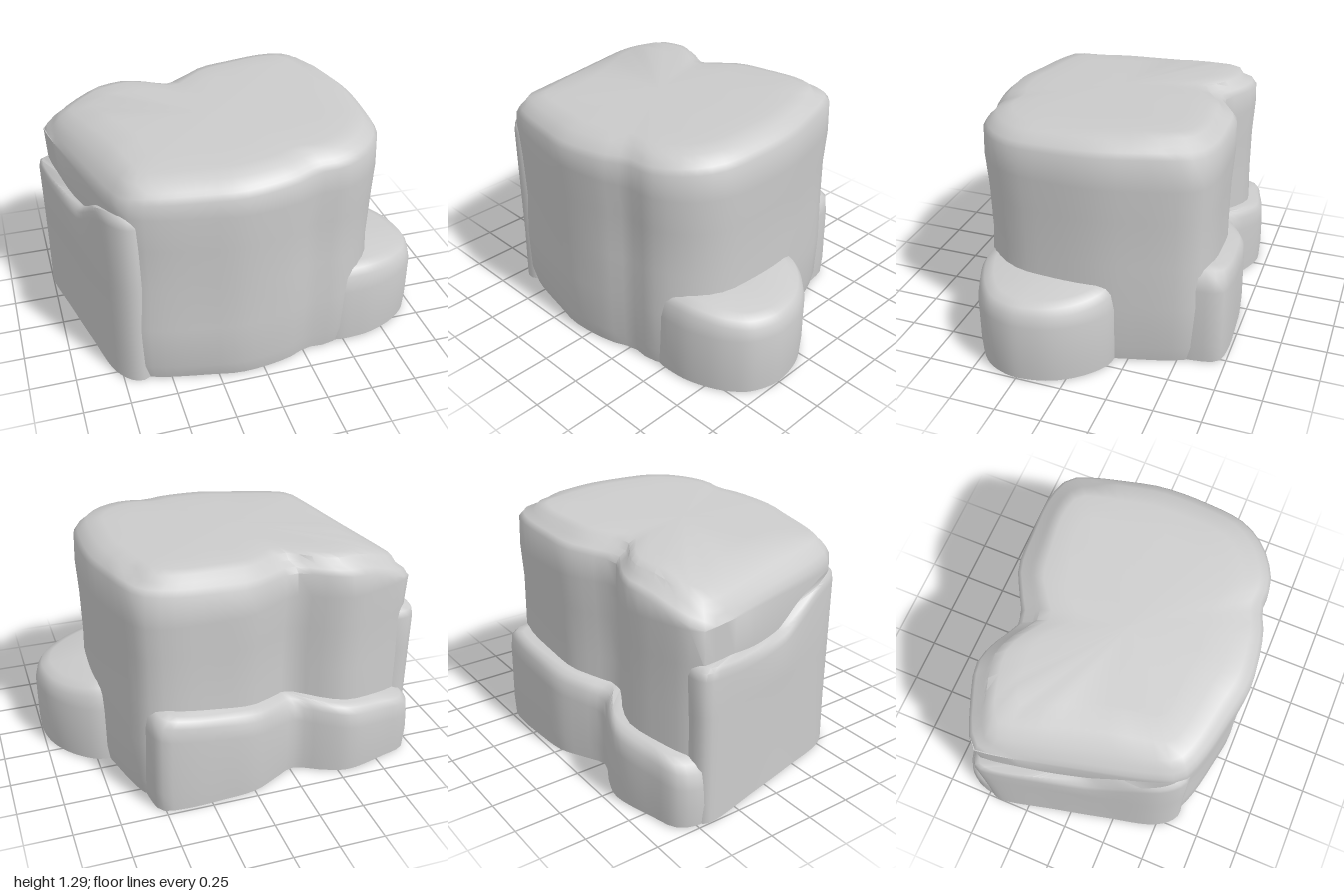
import * as THREE from 'three';
import { toCreasedNormals } from 'three/addons/utils/BufferGeometryUtils.js';

const material = new THREE.MeshStandardMaterial({ color: 0xcccccc, roughness: 0.9 });
const { clamp, lerp, smoothstep } = THREE.MathUtils;

// Smooth closed outline through [x, z] points, clockwise seen from above
function outline(points, count) {
  const curve = new THREE.CatmullRomCurve3(
    points.map(([x, z]) => new THREE.Vector3(x, 0, z)), true, 'centripetal');
  return curve.getSpacedPoints(count).slice(0, count);
}

// Stack of rings: each row gives [inset(x, z) towards the centre, height(x, z)]
function rock(name, points, [cx, cz], rows, topHeight, count = 72) {
  const ring = outline(points, count);
  const positions = [];
  const index = [];
  for (const [inset, height] of rows) {
    for (const p of ring) {
      const dx = p.x - cx, dz = p.z - cz;
      const k = 1 - inset(p.x, p.z) / Math.hypot(dx, dz);
      const x = cx + dx * k, z = cz + dz * k;
      positions.push(x, height(x, z), z);
    }
  }
  const bottom = rows.length * count, top = bottom + 1;
  positions.push(cx, 0.005, cz, cx, topHeight(cx, cz), cz);
  for (let i = 0; i < count; i++) {
    const j = (i + 1) % count;
    for (let r = 0; r < rows.length - 1; r++) {
      const a = r * count + i, b = r * count + j;
      index.push(a, a + count, b + count, a, b + count, b);
    }
    const last = (rows.length - 1) * count;
    index.push(last + i, top, last + j, i, j, bottom);
  }
  const geometry = new THREE.BufferGeometry();
  geometry.setAttribute('position', new THREE.Float32BufferAttribute(positions, 3));
  geometry.setIndex(index);
  const mesh = new THREE.Mesh(toCreasedNormals(geometry, 0.9), material);
  mesh.name = name;
  return mesh;
}

const flat = v => () => v;
const below = (f, d) => (x, z) => f(x, z) - d;

export function createModel() {
  const group = new THREE.Group();
  group.name = 'rock';

  // Main block: gently tilted top, worn rim, stepped along the back
  const top = (x, z) => 1.255 + 0.05 * x - 0.03 * z - 0.3 * Math.max(0, -x - 0.64);
  const rim = (side, back) => (x, z) => lerp(back, side, smoothstep(z, -0.5, -0.35));
  const worn = (amount, y) => (x, z) =>
    amount + 0.008 * Math.sin(5 * x + 4 * y) * Math.sin(4 * z - 5 * y);
  group.add(rock('mainBlock', [
    [-0.95, -0.45], [-0.9, -0.5], [-0.75, -0.56], [-0.55, -0.61], [-0.42, -0.57],
    [-0.27, -0.5], [-0.14, -0.56], [0, -0.63], [0.2, -0.645], [0.44, -0.64],
    [0.57, -0.59], [0.62, -0.5], [0.68, -0.3], [0.725, -0.1], [0.73, 0.15],
    [0.7, 0.38], [0.6, 0.53], [0.43, 0.63], [0.29, 0.635], [0.15, 0.69],
    [-0.12, 0.725], [-0.3, 0.695], [-0.6, 0.625], [-0.7, 0.57], [-0.75, 0.45],
    [-0.86, 0], [-0.94, -0.37],
  ], [-0.1, 0.05], [
    [flat(0.03), flat(0.01)],
    [worn(0.01, 0.1), flat(0.1)],
    [worn(0.008, 0.35), flat(0.35)],
    [worn(0.015, 0.6), flat(0.6)],
    [worn(0.012, 0.85), flat(0.85)],
    [flat(0), flat(1.04)],
    [flat(0.005), below(top, 0.09)],
    [rim(0.025, 0.03), below(top, 0.06)],
    [rim(0.045, 0.085), below(top, 0.045)],
    [rim(0.08, 0.11), below(top, 0.012)],
    [flat(0.17), top],
    [flat(0.3), below(top, -0.006)],
  ], below(top, -0.008)));

  // Low ledge along the back, following the notch of the block above
  const ledgeTop = x => 0.49 + 0.15 * x;
  group.add(rock('backLedge', [
    [-0.99, -0.45], [-0.95, -0.59], [-0.8, -0.645], [-0.55, -0.7], [-0.42, -0.66],
    [-0.27, -0.595], [-0.14, -0.65], [0, -0.715], [0.2, -0.735], [0.42, -0.74],
    [0.53, -0.715], [0.565, -0.6], [0.56, -0.45], [0.4, -0.3], [-0.1, -0.25],
    [-0.6, -0.25], [-0.88, -0.3],
  ], [-0.2, -0.4], [
    [flat(0.008), flat(0.01)],
    [flat(0), flat(0.12)],
    [flat(0.005), below(ledgeTop, 0.12)],
    [flat(0.015), below(ledgeTop, 0.04)],
    [flat(0.05), below(ledgeTop, 0.005)],
    [flat(0.1), below(ledgeTop, -0.01)],
  ], ledgeTop));

  // Thin slab on the side, its broken edge climbing to the front
  const slabTop = (x, z) => 0.86 + 0.18 * smoothstep(z, 0.1, 0.5)
    - 0.03 * Math.sin(clamp((z + 0.4) / 0.6, 0, 1) * Math.PI);
  group.add(rock('sideSlab', [
    [-0.99, -0.47], [-0.9, -0.5], [-0.7, -0.4], [-0.6, 0.1], [-0.55, 0.5],
    [-0.64, 0.605], [-0.7, 0.595], [-0.78, 0.5], [-0.86, 0.2], [-0.93, -0.1],
    [-1, -0.42],
  ], [-0.76, 0.05], [
    [flat(0), flat(0.01)],
    [flat(0.006), flat(0.3)],
    [flat(0.004), flat(0.6)],
    [flat(0.002), below(slabTop, 0.06)],
    [flat(0.012), below(slabTop, 0.02)],
    [flat(0.04), slabTop],
  ], slabTop));

  // Rounded foot on the opposite side
  const footTop = x => 0.485 - 0.035 * smoothstep(x, 0.6, 0.97);
  group.add(rock('sideFoot', [
    [0.5, -0.15], [0.71, -0.185], [0.8, -0.145], [0.9, -0.05], [0.97, 0.07],
    [1, 0.2], [1, 0.29], [0.95, 0.42], [0.88, 0.49], [0.78, 0.55], [0.6, 0.6],
    [0.4, 0.57], [0.35, 0.2],
  ], [0.65, 0.2], [
    [flat(0.006), flat(0.01)],
    [flat(0), flat(0.1)],
    [flat(0), flat(0.34)],
    [flat(0.015), below(footTop, 0.05)],
    [flat(0.04), below(footTop, 0.015)],
    [flat(0.09), footTop],
  ], footTop));

  return group;
}
